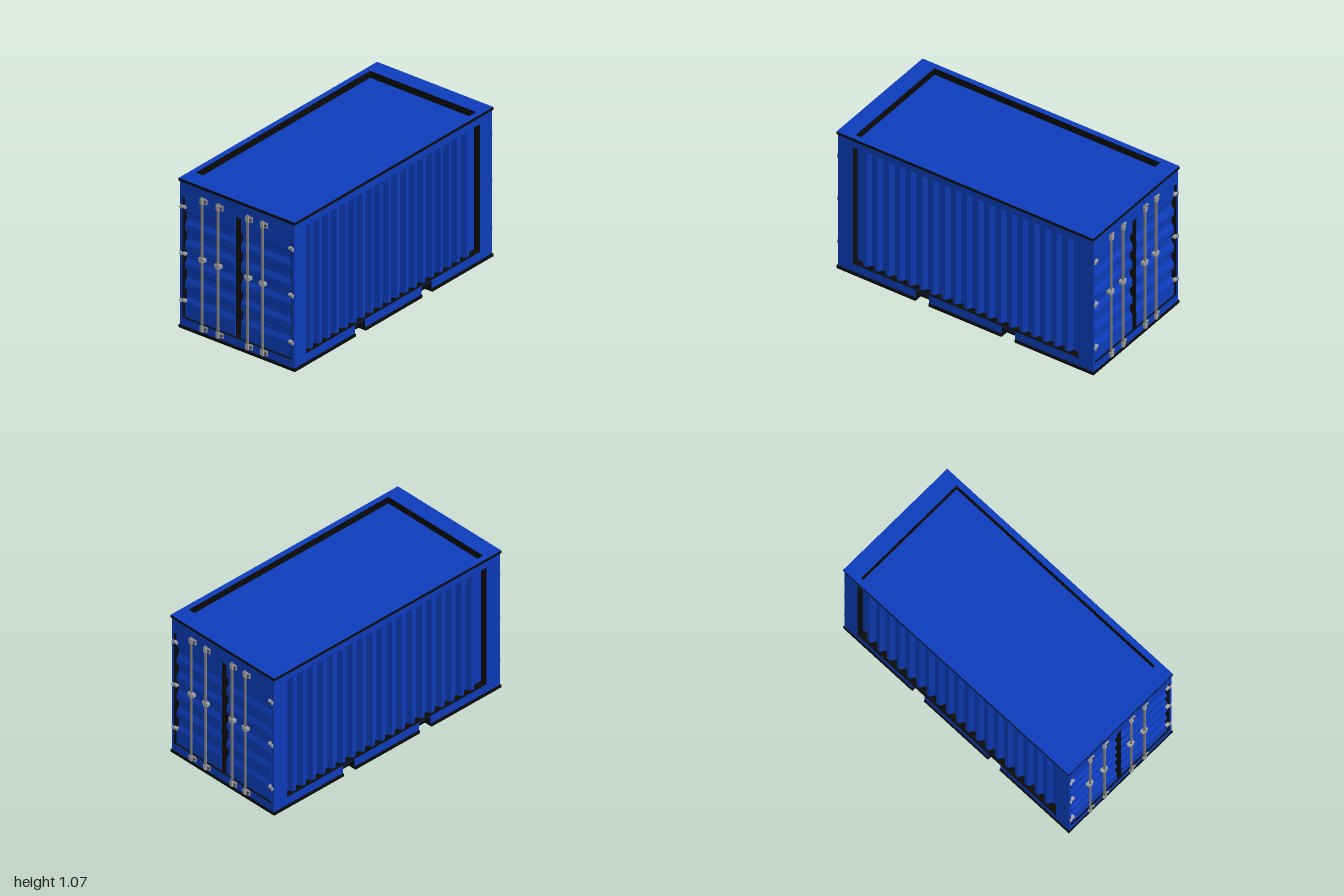
import * as THREE from 'three';

const mat = (name, color, side = THREE.FrontSide) => {
  const m = new THREE.MeshStandardMaterial({ color, side });
  m.name = name;
  return m;
};

export function createModel() {
  const blue = mat('bluePaint', 0x0d3cba);
  const black = mat('blackTrim', 0x0a0a0a);
  const steel = mat('steelBar', 0x808080);
  const pale = mat('paleSteel', 0xa3a3a3);
  const dark = mat('darkBolt', 0x3c3c3c);

  const add = (parent, name, geometry, material) => {
    const mesh = new THREE.Mesh(geometry, material);
    mesh.name = name;
    parent.add(mesh);
    return mesh;
  };
  // Box given by its minimum and maximum on each axis
  const box = (parent, name, material, x0, x1, y0, y1, z0, z1) => {
    const g = new THREE.BoxGeometry(x1 - x0, y1 - y0, z1 - z0);
    g.translate((x0 + x1) / 2, (y0 + y1) / 2, (z0 + z1) / 2);
    return add(parent, name, g, material);
  };
  const poly = (pts) => new THREE.Shape(pts.map(([x, y]) => new THREE.Vector2(x, y)));
  const rect = (x0, x1, y0, y1) => [[x0, y0], [x1, y0], [x1, y1], [x0, y1]];
  const extrude = (shape, depth) => new THREE.ExtrudeGeometry(shape, { depth, bevelEnabled: false });

  // Frame with a rectangular opening; groups: 0 faces, 1 outer rim, 2 reveal of the opening
  const frame = (outline, x0, x1, y0, y1, depth) => {
    const shape = poly(outline);
    shape.holes.push(new THREE.Path(rect(x0, x1, y0, y1).reverse().map((p) => new THREE.Vector2(...p))));
    const g = extrude(shape, depth);
    const p = g.attributes.position;
    const [caps, sides] = g.groups;
    g.clearGroups();
    g.addGroup(caps.start, caps.count, 0);
    const e = 1e-4;
    for (let i = sides.start; i < sides.start + sides.count; i += 3) {
      let inside = true;
      for (let k = i; k < i + 3; k++) {
        const x = p.getX(k), y = p.getY(k);
        if (x < x0 - e || x > x1 + e || y < y0 - e || y > y1 + e) inside = false;
      }
      g.addGroup(i, 3, inside ? 2 : 1);
    }
    return g;
  };

  // Trapezoid ribs between a and b as [position, height] pairs
  const ribs = (a, b, n, low, high) => {
    const pts = [], step = (b - a) / n;
    for (let i = 0; i < n; i++) {
      const s = a + i * step;
      pts.push([s, low], [s + step * 0.22, high], [s + step * 0.5, high], [s + step * 0.72, low]);
    }
    return pts;
  };

  const model = new THREE.Group();
  model.name = 'shippingContainer';
  const pockets = [-0.33, 0.33], pw = 0.05;

  // Inner core, seen in the gaps and fork pockets
  box(model, 'core', black, -0.94, 0.94, 0.02, 1.01, -0.4, 0.4);

  // Black base plate with fork pocket notches on both long sides
  const edge = [[-0.985, -0.47]];
  for (const c of pockets) edge.push([c - pw, -0.47], [c - pw, -0.41], [c + pw, -0.41], [c + pw, -0.47]);
  edge.push([0.985, -0.47]);
  const base = extrude(poly([...edge, ...edge.map(([x, z]) => [-x, -z])]), 0.02);
  base.rotateX(-Math.PI / 2);
  add(model, 'basePlate', base, black);

  // Roof: blue rim, black edged lip and recessed panel
  const rim = frame(rect(-0.98, 0.98, -0.462, 0.462), -0.865, 0.865, -0.43, 0.43, 0.04);
  rim.rotateX(-Math.PI / 2).translate(0, 1.005, 0);
  add(model, 'roofRim', rim, [blue, blue, black]);
  const lip = frame(rect(-0.985, 0.985, -0.47, 0.47), -0.865, 0.865, -0.43, 0.43, 0.02);
  lip.rotateX(-Math.PI / 2).translate(0, 1.045, 0);
  add(model, 'roofLip', lip, [blue, black, black]);
  box(model, 'roofBed', black, -0.88, 0.88, 1.0, 1.012, -0.44, 0.44);
  box(model, 'roofPanel', blue, -0.859, 0.859, 1.008, 1.02, -0.424, 0.424);

  // One long side and one door end, repeated by half a turn
  const half = new THREE.Group();
  half.name = 'sideAndEnd';

  // Long side frame with fork pockets cut in the lower rail
  const outline = [[-0.95, 0.02]];
  for (const c of pockets) outline.push([c - pw, 0.02], [c - pw, 0.076], [c + pw, 0.076], [c + pw, 0.02]);
  outline.push([0.95, 0.02], [0.95, 1.005], [-0.95, 1.005]);
  const sideFrame = frame(outline, -0.865, 0.865, 0.08, 0.99, 0.052);
  sideFrame.translate(0, 0, 0.41);
  add(half, 'sideFrame', sideFrame, [blue, black, black]);

  // Vertically corrugated wall
  const wallPts = [[-0.87, 0.4], [0.87, 0.4], [0.87, 0.412],
    ...ribs(-0.815, 0.815, 19, 0.412, 0.445).reverse(), [-0.87, 0.412]];
  const wall = extrude(poly(wallPts), 0.908);
  wall.rotateX(Math.PI / 2).translate(0, 0.989, 0);
  add(half, 'corrugatedWall', wall, blue);

  // Door end frame
  const endFrame = frame(rect(-0.462, 0.462, 0.02, 1.005), -0.443, 0.443, 0.076, 0.94, 0.04);
  endFrame.rotateY(Math.PI / 2).translate(0.94, 0, 0);
  add(half, 'endFrame', endFrame, [blue, blue, black]);
  box(half, 'doorBacking', black, 0.93, 0.945, 0.07, 0.945, -0.45, 0.45);

  // Doors with horizontal ribs
  const doorPts = [[0.94, 0.083], [0.972, 0.083], [0.972, 0.19],
    ...ribs(0.19, 0.88, 5, 0.972, 0.952).map(([y, x]) => [x, y]), [0.972, 0.88], [0.972, 0.932], [0.94, 0.932]];
  for (const s of [1, -1]) {
    const door = extrude(poly(doorPts), 0.406);
    door.translate(0, 0, s > 0 ? 0.023 : -0.429);
    add(half, 'door', door, blue);
    // Rubber seals at the hinge side and the meeting edge
    for (const z of [0.434, 0.016]) box(half, 'doorSeal', black, 0.94, 0.967, 0.08, 0.936, s * z - 0.005, s * z + 0.005);
    // Hinges
    for (const y of [0.2, 0.535, 0.868]) {
      box(half, 'hinge', pale, 0.965, 0.987, y - 0.008, y + 0.008, s * 0.437 - 0.021, s * 0.437 + 0.021);
      const pin = new THREE.CylinderGeometry(0.007, 0.007, 0.024, 10);
      add(half, 'hingePin', pin, pale).position.set(0.986, y, s * 0.452);
    }
  }
  box(half, 'centreSeal', black, 0.94, 0.957, 0.08, 0.936, -0.006, 0.006);

  // Locking bars with end clamps, bolted plates and handles
  for (const z of [0.28, 0.15, -0.09, -0.21]) {
    const bar = new THREE.CylinderGeometry(0.009, 0.009, 0.96, 12);
    add(half, 'lockingBar', bar, steel).position.set(0.988, 0.51, z);
    for (const y of [0.055, 0.965]) {
      box(half, 'barClamp', pale, 0.975, 0.999, y - 0.018, y + 0.018, z - 0.012, z + 0.012);
      box(half, 'clampPlate', pale, 0.975, 0.987, y - 0.018, y + 0.018, z - 0.039, z - 0.01);
      const bolt = new THREE.CylinderGeometry(0.008, 0.008, 0.006, 12);
      bolt.rotateZ(Math.PI / 2);
      add(half, 'clampBolt', bolt, dark).position.set(0.988, y, z - 0.025);
    }
    box(half, 'lockHandle', pale, 0.97, 0.996, 0.533, 0.555, z - 0.024, z + 0.024);
    box(half, 'handleCatch', pale, 0.975, 1.0, 0.528, 0.56, z - 0.012, z + 0.012);
  }

  const other = half.clone();
  other.rotation.y = Math.PI;
  model.add(half, other);
  return model;
}
